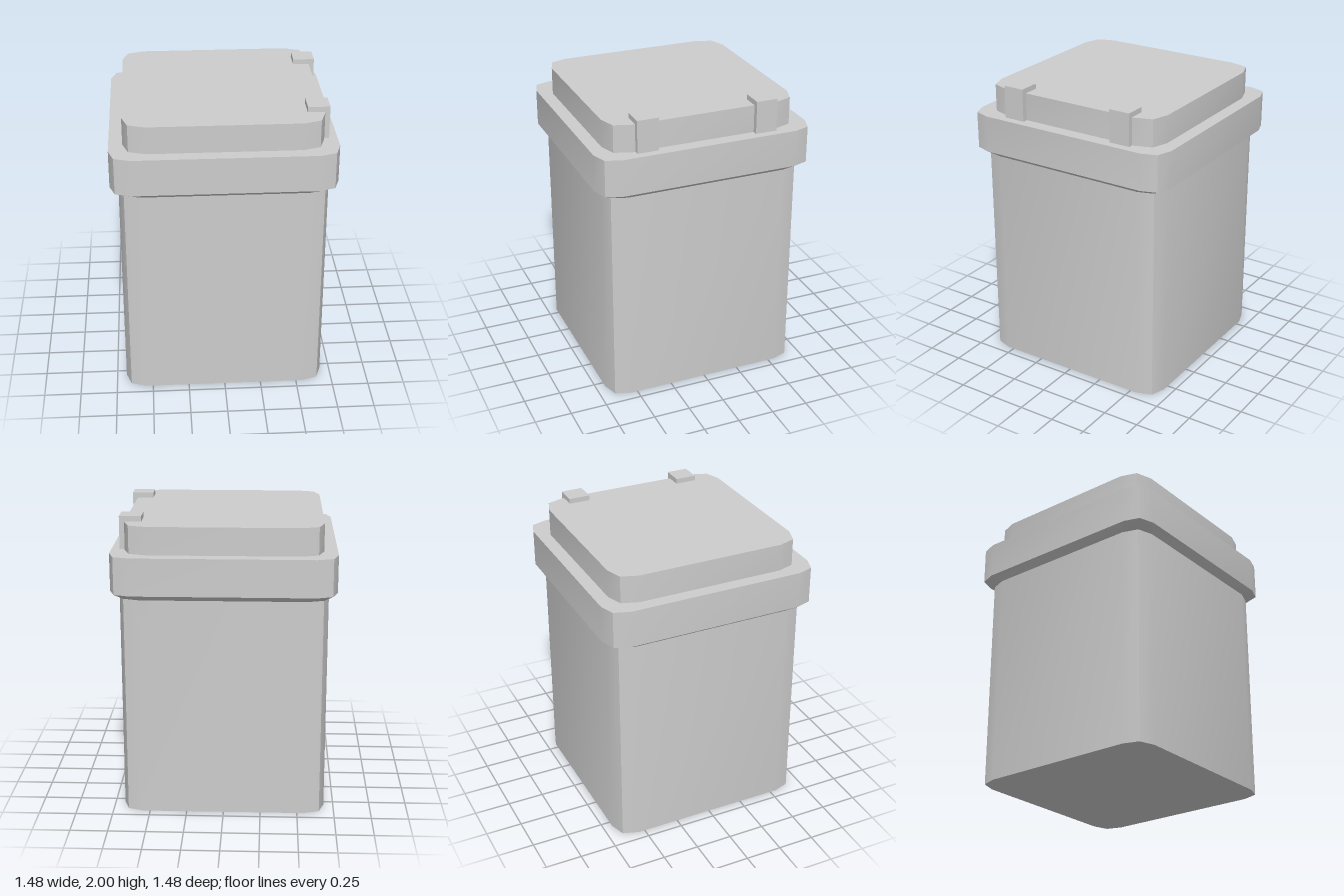
import * as THREE from 'three';
import { toCreasedNormals } from 'three/addons/utils/BufferGeometryUtils.js';

// Square outline with two-facet corners: h = half width, r = corner size
function outline(h, r) {
  const quarter = [[h, h - r], [h - r * 0.25, h - r * 0.25], [h - r, h]];
  const pts = [];
  for (let q = 0; q < 4; q++) {
    for (const [px, pz] of quarter) {
      let x = px, z = pz;
      for (let k = 0; k < q; k++) [x, z] = [-z, x];
      pts.push([x, z]);
    }
  }
  return pts;
}

// Closed solid through a stack of levels [y, half width, corner size]
function stack(levels) {
  const rings = levels.map(([y, h, r]) => outline(h, r).map(([x, z]) => [x, y, z]));
  const n = rings[0].length, pos = [];
  const tri = (a, b, c) => pos.push(...a, ...b, ...c);
  for (let l = 0; l < rings.length - 1; l++) {
    const lo = rings[l], hi = rings[l + 1];
    for (let i = 0; i < n; i++) {
      const j = (i + 1) % n;
      tri(lo[i], hi[i], lo[j]);
      tri(lo[j], hi[i], hi[j]);
    }
  }
  const bottom = rings[0], top = rings[rings.length - 1];
  for (let i = 1; i < n - 1; i++) {
    tri(bottom[0], bottom[i], bottom[i + 1]);
    tri(top[0], top[i + 1], top[i]);
  }
  const geo = new THREE.BufferGeometry();
  geo.setAttribute('position', new THREE.Float32BufferAttribute(pos, 3));
  return toCreasedNormals(geo, THREE.MathUtils.degToRad(35));
}

export function createModel() {
  const model = new THREE.Group();
  model.name = 'container';
  const grey = new THREE.MeshStandardMaterial({ color: 0xcccccc });
  grey.name = 'lightGrey';

  const add = (name, geo) => {
    const mesh = new THREE.Mesh(geo, grey);
    mesh.name = name;
    model.add(mesh);
    return mesh;
  };

  // Tall body
  add('body', stack([[0, 0.685, 0.14], [1.495, 0.685, 0.14]]));
  // Wider collar with a sloped underside
  add('collar', stack([[1.49, 0.685, 0.14], [1.53, 0.74, 0.14], [1.78, 0.74, 0.14]]));
  // Raised lid
  add('lid', stack([[1.775, 0.65, 0.15], [1.965, 0.65, 0.15]]));
  // Two hinge blocks on the left edge of the lid
  for (const [name, z] of [['frontHinge', 0.407], ['backHinge', -0.412]]) {
    add(name, new THREE.BoxGeometry(0.145, 0.22, 0.146)).position.set(0.6125, 1.89, z);
  }
  return model;
}
